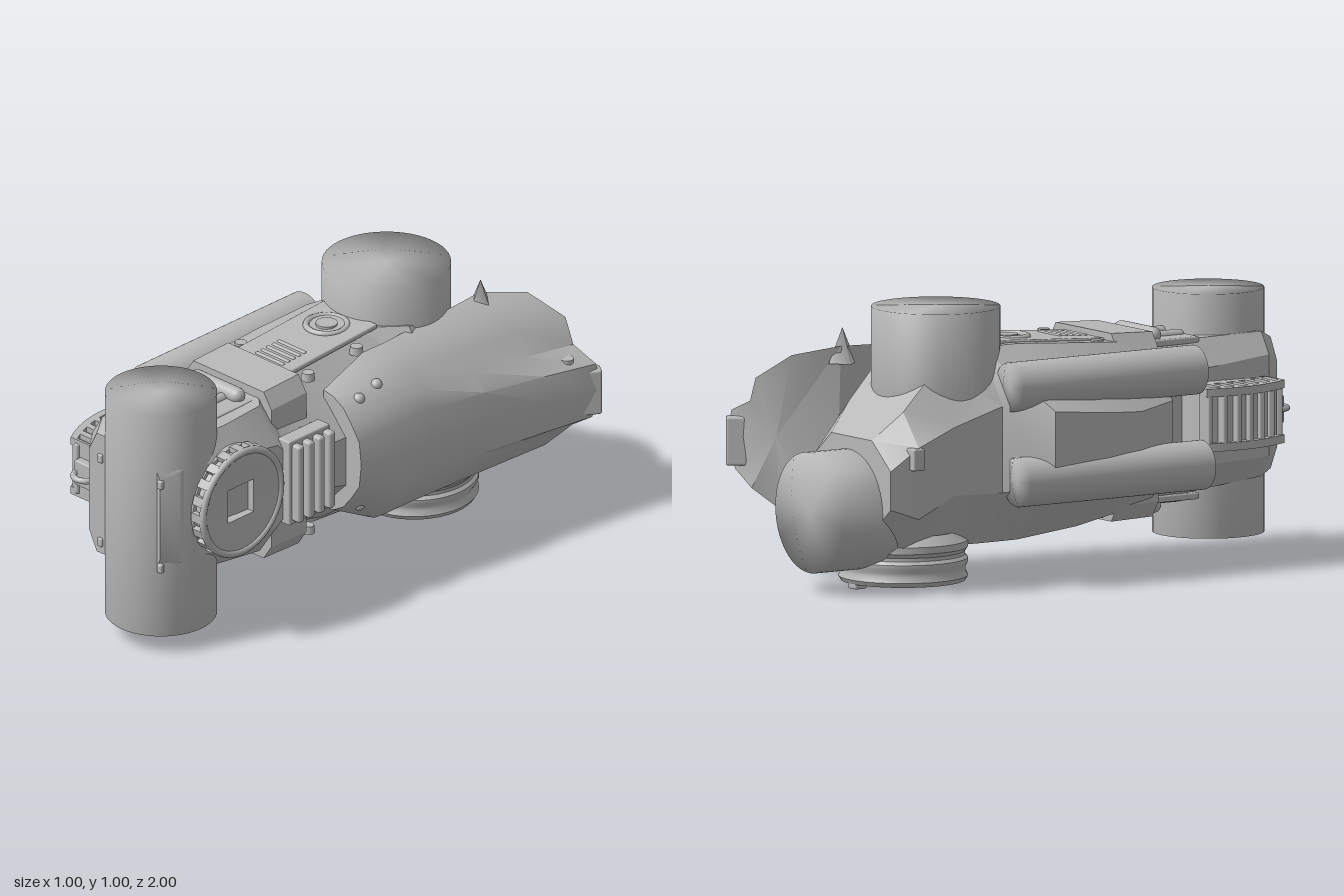
import * as THREE from 'three';
import { mergeVertices, toCreasedNormals } from 'three/addons/utils/BufferGeometryUtils.js';
import { RoundedBoxGeometry } from 'three/addons/geometries/RoundedBoxGeometry.js';

export function createModel() {
  const model = new THREE.Group();
  model.name = 'mechanicalHousing';
  const grey = new THREE.MeshStandardMaterial({ color: 0xb8b8b8 });
  grey.name = 'plain grey';
  const MID = 0.525; // height the housing is mirrored about

  function add(name, geo, x = 0, y = 0, z = 0, rx = 0, ry = 0, rz = 0, parent = model) {
    const m = new THREE.Mesh(geo, grey);
    m.name = name;
    m.position.set(x, y, z);
    m.rotation.set(rx, ry, rz);
    parent.add(m);
    return m;
  }
  const box = (name, w, h, d, x, y, z, r = 0.006) =>
    add(name, new RoundedBoxGeometry(w, h, d, 2, Math.min(r, w / 3, h / 3, d / 3)), x, y, z);

  // Cylinder whose caps share soft normals with the wall
  function softCylinder(r, h) {
    const g = new THREE.CylinderGeometry(r, r, h, 48);
    g.deleteAttribute('normal');
    g.deleteAttribute('uv');
    const merged = mergeVertices(g, 1e-4);
    merged.computeVertexNormals();
    return merged;
  }

  // Skin over rings running front to back; each ring is anticlockwise from the front
  function loft(rings, backCentre, crease = 0.5) {
    const n = rings[0].length, pos = rings.flat(2), idx = [];
    const centre = (ring) => [0, 1, 2].map((k) => ring.reduce((s, p) => s + p[k], 0) / n);
    const last = rings.length - 1, f = n * rings.length, b = f + 1;
    pos.push(...centre(rings[0]), ...(backCentre || centre(rings[last])));
    for (let j = 0; j < n; j++) {
      const k = (j + 1) % n;
      for (let i = 0; i < last; i++) {
        const a = i * n + j, c = i * n + k;
        idx.push(a, a + n, c, c, a + n, c + n);
      }
      idx.push(f, j, k, b, last * n + k, last * n + j);
    }
    const g = new THREE.BufferGeometry();
    g.setAttribute('position', new THREE.Float32BufferAttribute(pos, 3));
    g.setIndex(idx);
    return toCreasedNormals(g, crease);
  }
  // Chamfered rectangle ring
  const ring = ([z, l, r, b, t, cx, cy]) => [
    [l + cx, b, z], [r - cx, b, z], [r, b + cy, z], [r, t - cy, z],
    [r - cx, t, z], [l + cx, t, z], [l, t - cy, z], [l, b + cy, z]];

  // Main housing: z, left, right, bottom, top, chamfer x, chamfer y
  add('mainHousing', loft([
    [0.955, -0.21, 0.15, 0.31, 0.79, 0.04, 0.08],
    [0.89, -0.255, 0.19, 0.29, 0.82, 0.05, 0.08],
    [0.62, -0.265, 0.22, 0.26, 0.815, 0.07, 0.1],
    [0.43, -0.27, 0.23, 0.23, 0.82, 0.09, 0.13],
    [0.37, -0.4, 0.24, 0.22, 0.83, 0.17, 0.2],
    [0.2, -0.45, 0.25, 0.21, 0.84, 0.2, 0.23],
    [0.05, -0.47, 0.27, 0.18, 0.85, 0.22, 0.23],
    [-0.2, -0.485, 0.28, 0.15, 0.865, 0.25, 0.22],
    [-0.34, -0.35, 0.28, 0.145, 0.86, 0.14, 0.2],
    [-0.55, -0.35, 0.25, 0.15, 0.8, 0.12, 0.2],
    [-0.72, -0.37, 0.18, 0.16, 0.66, 0.1, 0.12],
    [-0.83, -0.35, 0.15, 0.22, 0.56, 0.12, 0.1],
  ].map(ring)));

  // Large plain cylinders
  add('frontColumn', softCylinder(0.203, 0.892), 0.003, 0.519, 0.8);
  add('rearTopColumn', softCylinder(0.234, 0.5), -0.078, 0.755, -0.447);
  add('rearDrum', softCylinder(0.22, 0.35), -0.08, 0.293, -0.825, Math.PI / 2);
  add('upperSideTank', softCylinder(0.09, 0.81), -0.365, 0.73, 0.085, Math.PI / 2);
  add('lowerSideTank', softCylinder(0.09, 0.81), -0.412, 0.388, 0.085, Math.PI / 2);

  // Fluted shroud on the left flank, with a stepped rear edge
  const shroudFront = [[0.15, 0.29], [0.2, 0.3], [0.25, 0.33], [0.29, 0.38], [0.33, 0.44],
    [0.34, 0.53], [0.33, 0.62], [0.29, 0.68], [0.25, 0.73], [0.2, 0.76], [0.15, 0.77]];
  const shroudMid = [[0.14, 0.18], [0.2, 0.19], [0.26, 0.23], [0.31, 0.29], [0.355, 0.38],
    [0.365, 0.52], [0.355, 0.64], [0.32, 0.71], [0.27, 0.77], [0.2, 0.82], [0.14, 0.84]];
  const shroudRear = [[0.13, 0.17, -0.74], [0.22, 0.19, -0.8], [0.32, 0.25, -0.86],
    [0.38, 0.325, -0.94], [0.47, 0.385, -0.95], [0.497, 0.5, -0.97], [0.48, 0.6, -0.96],
    [0.375, 0.645, -0.95], [0.325, 0.735, -0.96], [0.21, 0.825, -0.88], [0.13, 0.855, -0.72]];
  const atZ = (pts, z) => pts.map(([x, y]) => [x, y, z]);
  const blend = (t) => shroudMid.map(([x, y], i) => {
    const [rx, ry, rz] = shroudRear[i];
    return [x + (rx - x) * t ** 1.2, y + (ry - y) * t ** 1.2, -0.22 + (rz + 0.22) * t];
  });
  add('flankShroud', loft([atZ(shroudFront, 0.11), atZ(shroudMid, -0.1), blend(0),
    blend(0.35), blend(0.7), blend(1)], [0.28, 0.52, -0.9], 0.6));
  add('shroudFin', new THREE.ConeGeometry(0.06, 0.13, 4), 0.15, 0.855, -0.7);
  box('shroudTip', 0.055, 0.18, 0.08, 0.46, 0.49, -0.95, 0.01).rotation.y = -0.6;

  // Collar and flank ribs
  add('collar', loft([
    [0.4, -0.265, 0.17, 0.185, 0.86, 0.04, 0.06],
    [0.22, -0.265, 0.17, 0.18, 0.867, 0.04, 0.06]].map(ring)));
  for (let i = 0; i < 4; i++)
    box('flankRib', 0.12, 0.31, 0.032, 0.24, 0.535, 0.215 + i * 0.053, 0.012);
  box('ribBacking', 0.06, 0.34, 0.21, 0.235, 0.535, 0.3);

  // Round flank hub with a tapered square pocket and notched rim
  const hub = new THREE.Group();
  hub.name = 'flankHub';
  hub.position.set(0.19, 0.548, 0.64);
  hub.rotation.y = Math.PI / 2;
  model.add(hub);
  const hubRing = (r, h, square) => Array.from({ length: 40 }, (_, i) => {
    const a = (i / 40) * Math.PI * 2, c = Math.cos(a), s = Math.sin(a);
    const k = square ? r / Math.max(Math.abs(c), Math.abs(s)) : r;
    return [c * k, s * k, h];
  });
  // rings run from the pocket floor over the face and down the wall
  add('hubFace', loft([hubRing(0.065, 0.025, true), hubRing(0.066, 0.06, true),
    hubRing(0.175, 0.07), hubRing(0.19, 0.07), hubRing(0.19, 0)],
  null, 0.4), 0, 0, 0, 0, 0, 0, hub);
  add('hubBase', new THREE.CylinderGeometry(0.205, 0.215, 0.06, 48), 0, 0, -0.01, Math.PI / 2, 0, 0, hub);
  add('hubRim', new THREE.TorusGeometry(0.2, 0.014, 10, 48), 0, 0, 0.065, 0, 0, 0, hub);
  for (let i = 0; i < 20; i++) {
    const a = (i / 20) * Math.PI * 2;
    add('hubTooth', new THREE.BoxGeometry(0.02, 0.035, 0.045),
      Math.cos(a) * 0.203, Math.sin(a) * 0.203, 0.04, 0, 0, a, hub);
  }

  // Curved grille on the right flank: slotted plates, core and slats
  const grilleCurve = new THREE.QuadraticBezierCurve(new THREE.Vector2(-0.43, -0.5),
    new THREE.Vector2(-0.49, -0.69), new THREE.Vector2(-0.385, -0.87));
  const bandShape = (inset) => new THREE.Shape([
    new THREE.Vector2(-0.26, -0.5),
    ...grilleCurve.getPoints(14).map((p) => new THREE.Vector2(p.x + inset, p.y)),
    new THREE.Vector2(-0.28, -0.87)]);
  const extrudeUp = (shape, depth) =>
    toCreasedNormals(new THREE.ExtrudeGeometry(shape, { depth, bevelEnabled: false }), 0.5);
  const slotted = bandShape(0);
  for (let i = 0; i < 6; i++) {
    const p = grilleCurve.getPoint((i + 0.68) / 6.4), q = grilleCurve.getPoint((i + 1.22) / 6.4);
    slotted.holes.push(new THREE.Path([
      new THREE.Vector2(p.x + 0.03, p.y), new THREE.Vector2(p.x + 0.13, p.y),
      new THREE.Vector2(q.x + 0.13, q.y), new THREE.Vector2(q.x + 0.03, q.y)]));
  }
  for (const y of [0.435, 0.635])
    add('grillePlate', extrudeUp(slotted, 0.03), 0, y, 0, -Math.PI / 2);
  add('grilleCore', extrudeUp(bandShape(0.03), 0.19), 0, 0.455, 0, -Math.PI / 2);
  for (let i = 0; i < 7; i++) {
    const t = 0.03 + i * 0.157, p = grilleCurve.getPoint(t), d = grilleCurve.getTangent(t);
    box('grilleSlat', 0.05, 0.2, 0.022, p.x + 0.028, 0.55, -p.y).rotation.y = Math.atan2(d.x, d.y) + Math.PI;
  }
  box('grilleStem', 0.12, 0.1, 0.1, -0.28, 0.55, 0.85);
  add('handleLoop', new THREE.TorusGeometry(0.045, 0.012, 8, 20), -0.29, 0.55, 0.89, Math.PI / 2);

  // Details repeated on the top and the underside
  for (const s of [1, -1]) {
    const at = (d) => MID + s * d;
    const deck = (z) => at(0.334 - z * 0.06); // deck slopes gently down to the front
    box('deckPanel', 0.27, 0.02, 0.46, -0.065, at(0.328), -0.02).rotation.x = s * 0.06;
    add('deckRing', new THREE.TorusGeometry(0.075, 0.012, 8, 32), -0.07, deck(-0.13), -0.13, Math.PI / 2);
    add('deckButton', new THREE.CylinderGeometry(0.04, 0.04, 0.02, 24), -0.07, deck(-0.13), -0.13);
    for (let i = 0; i < 5; i++)
      box('deckVent', 0.14, 0.016, 0.016, -0.05, deck(0.07 + i * 0.028), 0.07 + i * 0.028);
    for (const [x, z] of [[0.1, -0.11], [-0.22, 0.16], [0.12, 0.16]])
      add('deckBolt', new THREE.CylinderGeometry(0.022, 0.026, 0.03, 16), x, at(0.31), z);
    for (const z of [-0.06, 0.03])
      add('shroudBolt', new THREE.SphereGeometry(0.022, 16, 10), 0.25, at(z < 0 ? 0.24 : 0.215), z);
    // crossbar and twin struts
    add('crossbar', new THREE.CapsuleGeometry(0.03, 0.2, 6, 16), -0.055, at(0.31), 0.45, 0, 0, Math.PI / 2);
    for (const x of [-0.11, 0.0])
      add('strut', new THREE.CapsuleGeometry(0.02, 0.13, 6, 12), x, at(0.295), 0.53, Math.PI / 2);
    box('strutPlate', 0.3, 0.025, 0.2, -0.055, at(0.285), 0.52);
    for (const x of [-0.15, 0.15])
      box('noseLug', 0.024, 0.035, 0.02, x, at(0.17), 0.953);
  }
  add('rearBolt', new THREE.CylinderGeometry(0.025, 0.025, 0.03, 16), 0.42, 0.62, -0.87);
  box('rearLug', 0.05, 0.08, 0.05, -0.365, 0.5, -0.73);

  // Ribbed round vent underneath
  const profile = [[0, 0.09], [0.19, 0.09], [0.195, 0.022], [0.225, 0.018], [0.235, 0.035],
    [0.226, 0.055], [0.226, 0.07], [0.235, 0.085], [0.235, 0.1], [0.224, 0.112], [0.224, 0.125],
    [0.235, 0.14], [0.235, 0.165], [0.2, 0.2]].map(([x, y]) => new THREE.Vector2(x, y));
  add('ventHousing', toCreasedNormals(new THREE.LatheGeometry(profile, 48), 0.6), -0.078, 0, -0.59);
  for (let i = -3; i <= 3; i++)
    box('ventSlat', 0.02, 0.04, 2 * Math.sqrt(0.036 - (i * 0.05) ** 2), -0.078 + i * 0.05, 0.065, -0.59);
  box('ventCatch', 0.05, 0.06, 0.05, -0.078, 0.03, -0.79);

  return model;
}
